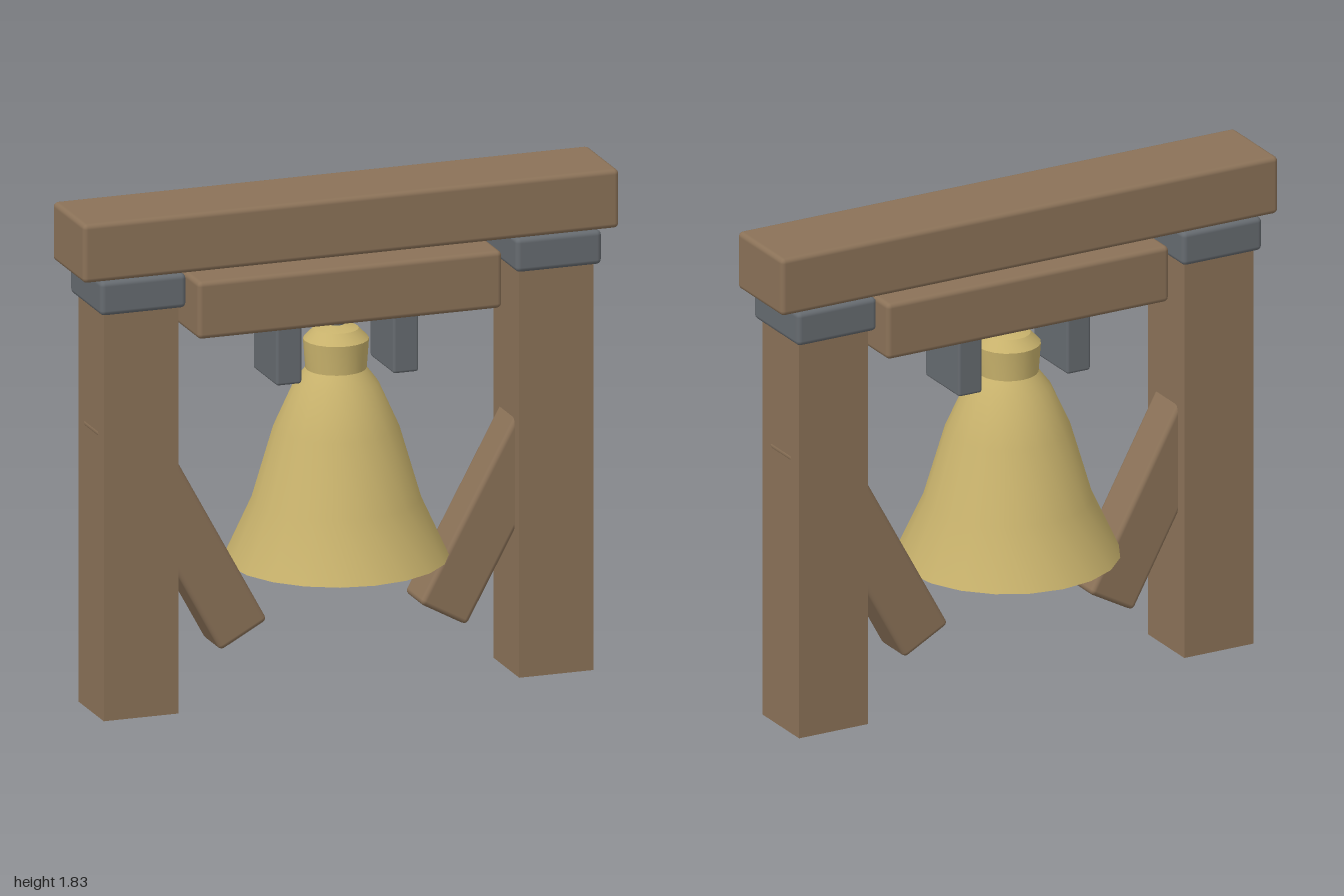
import * as THREE from 'three';
import { RoundedBoxGeometry } from 'three/addons/geometries/RoundedBoxGeometry.js';
import { toCreasedNormals } from 'three/addons/utils/BufferGeometryUtils.js';

const wood = new THREE.MeshStandardMaterial({ color: 0x8b7258 });
const iron = new THREE.MeshStandardMaterial({ color: 0x666b70 });
const bronze = new THREE.MeshStandardMaterial({ color: 0xc8b26c });

export function createModel() {
  const model = new THREE.Group();
  model.name = 'bellFrame';

  const add = (name, geometry, material, x, y, z = 0) => {
    const mesh = new THREE.Mesh(geometry, material);
    mesh.name = name;
    mesh.position.set(x, y, z);
    model.add(mesh);
    return mesh;
  };
  const block = (w, h, d, r = 0.018) => new RoundedBoxGeometry(w, h, d, 2, r);

  // Top beam and the yoke hanging under it
  add('topBeam', block(2, 0.215, 0.32), wood, 0, 1.722);
  add('yoke', block(1.135, 0.21, 0.295), wood, 0, 1.467);

  // Mirrored posts, iron caps, diagonal braces and yoke brackets
  for (const [side, s] of [['left', 1], ['right', -1]]) {
    add(side + 'Post', new THREE.BoxGeometry(0.278, 1.5, 0.26), wood, s * 0.775, 0.75);
    add(side + 'PostCap', block(0.32, 0.125, 0.32), iron, s * 0.775, 1.551);
    const brace = add(side + 'Brace', block(0.2, 0.965, 0.17), wood, s * 0.603, 0.667);
    brace.rotation.z = -s * 0.5;
    add(side + 'Bracket', block(0.095, 0.22, 0.24, 0.01), iron, s * 0.218, 1.265);
  }

  // Bell: inner wall downwards, lip, then outer wall up to the crown
  const profile = [
    [0, 1.1], [0.09, 1.07], [0.165, 0.93], [0.235, 0.69], [0.335, 0.476],
    [0.396, 0.476], [0.298, 0.69], [0.222, 0.95], [0.15, 1.11], [0.108, 1.165],
    [0.116, 1.272], [0.08, 1.31], [0.03, 1.325], [0, 1.325],
  ].map(([r, y]) => new THREE.Vector2(r, y));
  add('bell', toCreasedNormals(new THREE.LatheGeometry(profile, 20), 0.45), bronze, 0, 0);

  // Hanger pin, clapper rod and ball
  add('hangerPin', new THREE.CylinderGeometry(0.03, 0.03, 0.08, 12), iron, 0, 1.34);
  add('clapperRod', new THREE.CylinderGeometry(0.015, 0.015, 0.47, 8), iron, 0, 0.875);
  add('clapperBall', new THREE.SphereGeometry(0.058, 12, 8), iron, 0, 0.63);

  return model;
}
